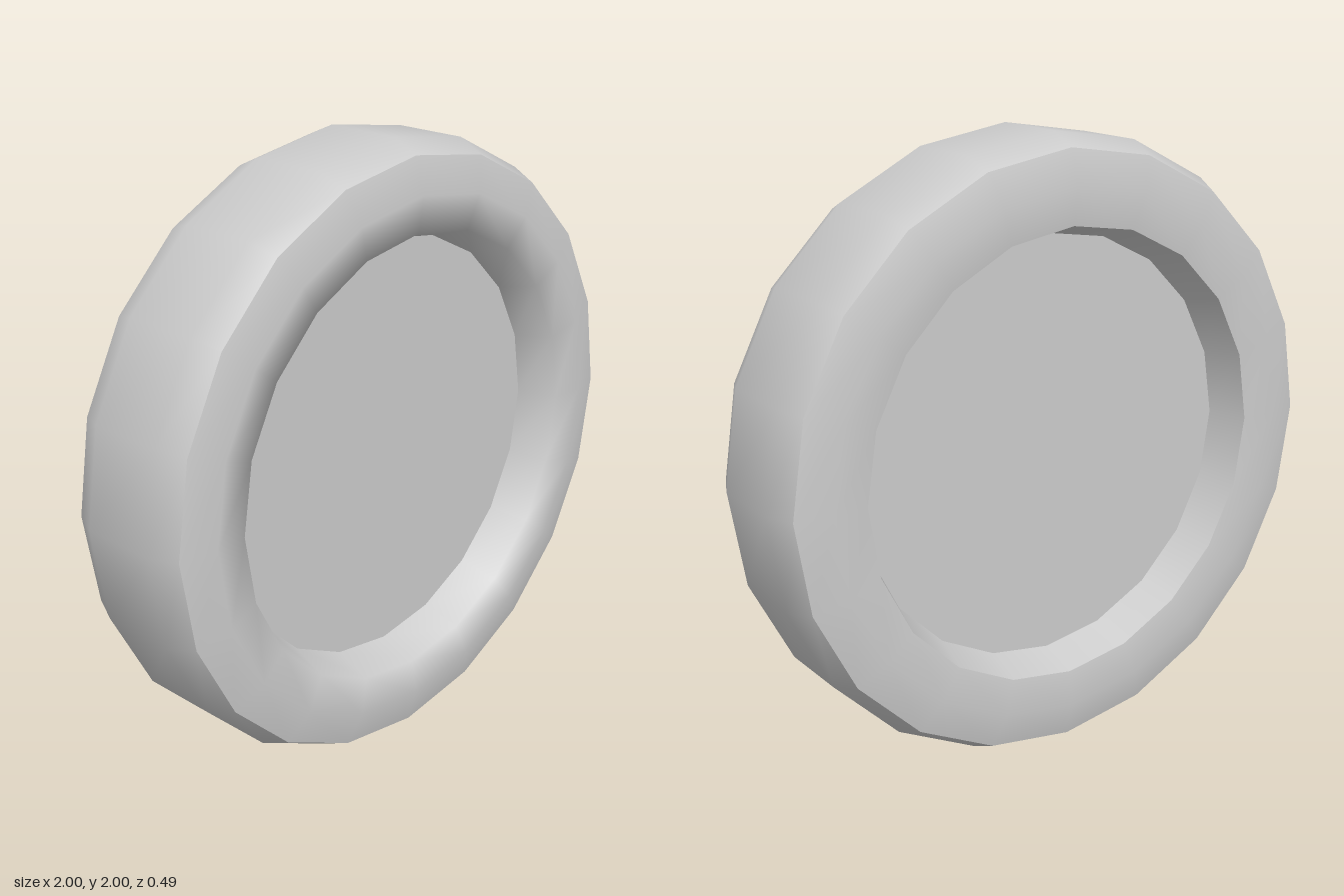
import * as THREE from 'three';

const SIDES = 20;
const material = new THREE.MeshStandardMaterial({ color: 0xcccccc });

// Smooth ring turned about the z axis from [radius, z] points, running back to front on the outside
function ring(name, profile) {
  const points = profile.map(([r, z]) => new THREE.Vector2(r, z));
  const geometry = new THREE.LatheGeometry(points, SIDES).rotateX(Math.PI / 2);
  const mesh = new THREE.Mesh(geometry, material);
  mesh.name = name;
  return mesh;
}

// Flat plate closing the hub on one side
function plate(name, z) {
  const mesh = new THREE.Mesh(new THREE.CircleGeometry(0.69, SIDES), material);
  mesh.name = name;
  mesh.position.z = z;
  if (z < 0) mesh.rotation.y = Math.PI;
  return mesh;
}

export function createModel() {
  const wheel = new THREE.Group();
  wheel.name = 'wheel';

  wheel.add(
    // Tread with rounded shoulders
    ring('tread', [[0.96, -0.215], [1, -0.125], [1, 0.125], [0.96, 0.215]]),
    // Front sidewall rolls softly into the hub
    ring('frontSidewall', [[0.96, 0.215], [0.845, 0.245], [0.73, 0.23], [0.69, 0.1]]),
    // Back sidewall meets the rim wall at a hard edge
    ring('backSidewall', [[0.73, -0.23], [0.845, -0.245], [0.96, -0.215]]),
    ring('backRimWall', [[0.69, -0.1], [0.73, -0.23]]),
    plate('frontHubPlate', 0.1),
    plate('backHubPlate', -0.1),
  );

  wheel.position.y = 1;
  const model = new THREE.Group();
  model.add(wheel);
  return model;
}
